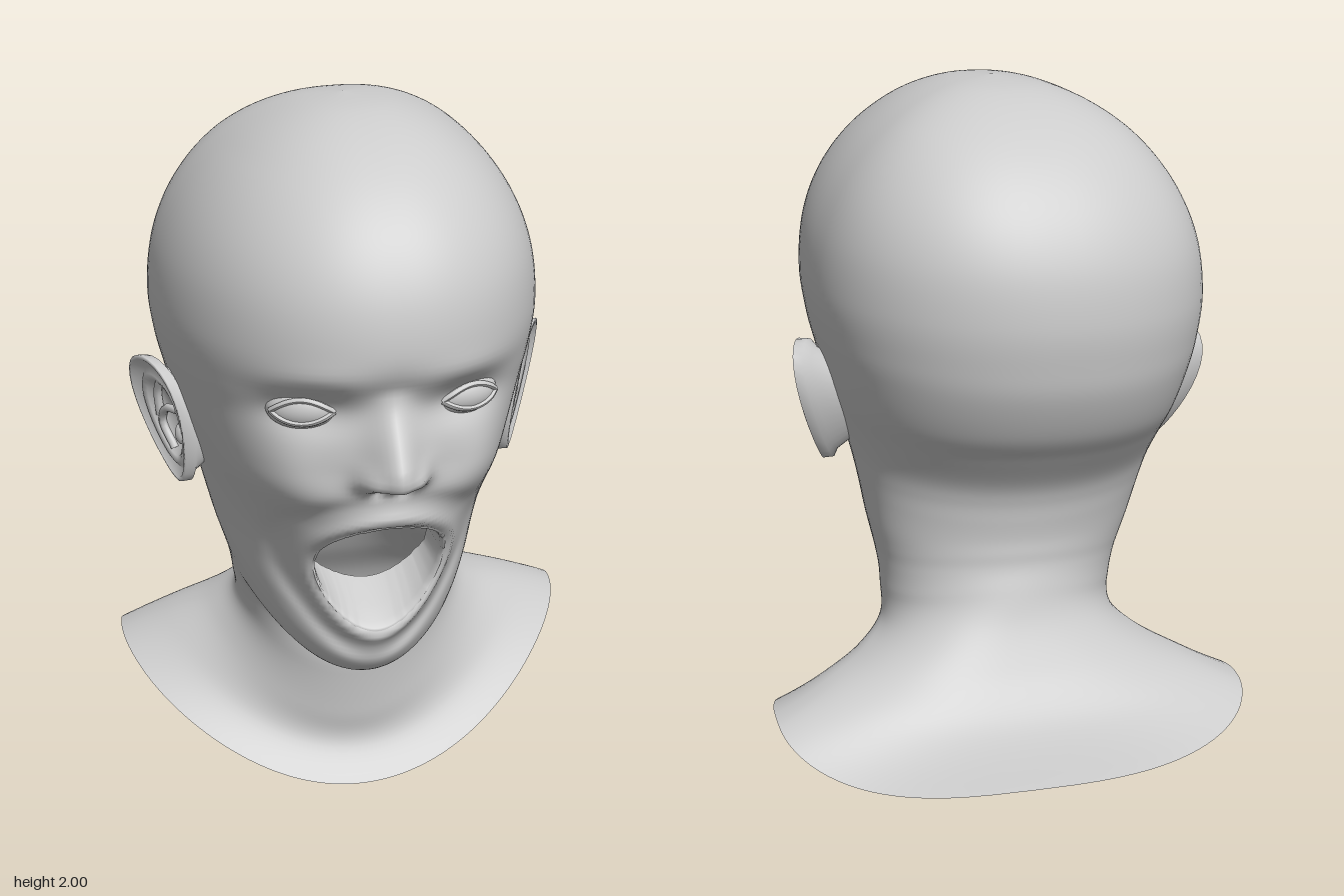
import * as THREE from 'three';

const { smoothstep, lerp } = THREE.MathUtils;
const gauss = (d, s) => Math.exp(-(d * d) / (s * s));

// Skull dome as a rule, then tilted rings from brow to collar:
// y front, y side, y back, z front, z back, half width
const DOME = Array.from({ length: 7 }, (_, k) => {
  const a = (k / 6) * Math.PI / 2, s = Math.sin(a), y = 1.45 + 0.55 * Math.cos(a);
  return [y, y, y, -0.05 + 0.65 * s, -0.05 - 0.61 * s, 0.525 * s];
});
const RINGS = DOME.concat([
  [1.33, 1.33, 1.33, 0.578, -0.65, 0.512],
  [1.24, 1.24, 1.24, 0.558, -0.63, 0.49],
  [1.13, 1.14, 1.13, 0.555, -0.58, 0.462],
  [1.03, 1.06, 1.05, 0.56, -0.52, 0.435],
  [0.93, 0.98, 0.96, 0.515, -0.455, 0.412],
  [0.82, 0.92, 0.9, 0.46, -0.43, 0.398],
  [0.7, 0.86, 0.84, 0.425, -0.42, 0.385],
  [0.59, 0.78, 0.79, 0.41, -0.415, 0.368],
  [0.5, 0.72, 0.75, 0.382, -0.417, 0.352],
  [0.445, 0.67, 0.71, 0.318, -0.42, 0.34],
  [0.475, 0.6, 0.66, 0.145, -0.435, 0.332],
  [0.35, 0.51, 0.56, 0.122, -0.47, 0.333],
  [0.2, 0.45, 0.45, 0.105, -0.53, 0.405],
  [0.1, 0.395, 0.33, 0.1, -0.61, 0.53],
  [0, 0.335, 0.17, 0.17, -0.675, 0.668],
]);
const SUB = 7, COLS = 128;

// Smooth interpolation between rings
function ringAt(i) {
  const k = Math.min(Math.floor(i / SUB), RINGS.length - 2), t = i / SUB - k;
  const at = (n) => RINGS[Math.max(0, Math.min(RINGS.length - 1, n))];
  const [a, b, c, d] = [at(k - 1), at(k), at(k + 1), at(k + 2)];
  return b.map((p, n) => p + 0.5 * t * (c[n] - a[n] +
    t * (2 * a[n] - 5 * p + 4 * c[n] - d[n] + t * (3 * (p - c[n]) + d[n] - a[n]))));
}

// Egg-shaped mouth opening: 1 on the lip edge
const MOUTH_Y = 0.782;
function mouthR(x, y) {
  const w = Math.max(0.06, 0.176 + 0.25 * (y - MOUTH_Y));
  return Math.hypot(x / w, (y - MOUTH_Y) / 0.175);
}

// Relief of nose, brows, sockets, cheeks, lips and chin
function relief(x, y) {
  const ax = Math.abs(x), down = Math.max(0, Math.min(1, (1.35 - y) / 0.2));
  const nose = 0.12 * down * smoothstep(y, 1.06, 1.11) * gauss(x, 0.045 + 0.025 * down);
  const wings = 0.03 * gauss(ax - 0.068, 0.03) * gauss(y - 1.11, 0.032);
  const nostrils = -0.03 * gauss(ax - 0.035, 0.018) * gauss(y - 1.075, 0.016);
  const socket = -0.05 * gauss(ax - 0.205, 0.12) * gauss(y - 1.29, 0.06);
  const bridge = -0.02 * gauss(x, 0.09) * gauss(y - 1.31, 0.06);
  const brow = 0.01 * gauss(ax - 0.2, 0.13) * gauss(y - 1.385, 0.04);
  const cheek = 0.028 * gauss(ax - 0.27, 0.09) * gauss(y - 1.1, 0.1);
  const r = mouthR(x, y);
  const lips = 0.02 * gauss(r - 1.1, 0.12) - 0.012 * gauss(r - 1.45, 0.16);
  const chin = 0.015 * gauss(x, 0.1) * gauss(y - 0.52, 0.05);
  return nose + wings + nostrils + socket + bridge + brow + cheek + lips + chin;
}

// Slight turn and tilt of the head over the shoulders
function pose(geo) {
  const p = geo.attributes.position;
  for (let i = 0; i < p.count; i++) {
    const x = p.getX(i), y = p.getY(i), z = p.getZ(i), w = smoothstep(y + 0.4 * z, 0.35, 0.95);
    p.setXYZ(i, x + w * (0.11 * z - 0.015), y + 0.035 * x * smoothstep(y, 0, 0.3), z - 0.08 * x);
  }
  geo.computeVertexNormals();
  return geo;
}

// Grid of points closed around its columns
function loft(rows, cols, point, flip, keep = () => true) {
  const pos = [], idx = [];
  for (let i = 0; i < rows; i++) for (let j = 0; j < cols; j++) pos.push(...point(i, j));
  const tri = (a, b, c) => { if (keep(a, b, c)) idx.push(...(flip ? [a, c, b] : [a, b, c])); };
  for (let i = 0; i < rows - 1; i++) for (let j = 0; j < cols; j++) {
    const a = i * cols + j, b = i * cols + (j + 1) % cols;
    tri(a, a + cols, b);
    tri(b, a + cols, b + cols);
  }
  const geo = new THREE.BufferGeometry();
  geo.setAttribute('position', new THREE.Float32BufferAttribute(pos, 3));
  geo.setIndex(idx);
  return geo;
}

export function createModel() {
  const group = new THREE.Group();
  const mat = new THREE.MeshStandardMaterial({ color: 0xcccccc, side: THREE.DoubleSide });
  const add = (name, geo) => {
    const mesh = new THREE.Mesh(pose(geo), mat);
    mesh.name = name;
    group.add(mesh);
  };

  // Skin of head, neck and collar; points inside the mouth slide out to the lip edge
  const inMouth = new Set(), edge = new Set();
  const skin = loft((RINGS.length - 1) * SUB + 1, COLS, (i, j) => {
    const [yF, yS, yB, zF, zB, hw] = ringAt(i);
    const u = (j / COLS) * Math.PI * 2, t = u - 0.5 * Math.sin(u);
    const s = Math.sin(t), c = Math.cos(t), front = c > 0;
    const collar = 1 - smoothstep(yS, 0.33, 0.58);
    const n = 2 + 0.2 * smoothstep(yS, 0.8, 1.2) + 0.1 * smoothstep(yS, 1.4, 1.7) + (front ? 0 : collar);
    const zc = lerp(-0.05 - 0.1 * Math.min(1, hw / 0.33), -0.4, collar);
    const f = Math.pow(Math.abs(c), 2 / n);
    let x = hw * Math.sign(s) * Math.pow(Math.abs(s), 2 / n);
    let y = yS + ((front ? yF : yB) - yS) * f * f;
    let z = zc + ((front ? zF : zB) - zc) * f;
    if (z > 0.2 && mouthR(x, y) < 1) {
      inMouth.add(i * COLS + j);
      for (let k = 0; k < 12; k++) {
        const r = Math.max(mouthR(x, y), 0.05);
        x /= r;
        y = MOUTH_Y + (y - MOUTH_Y) / r;
      }
    }
    if (front) z += relief(x, y) * smoothstep(z, 0.1, 0.3);
    return [x, y, z];
  }, false, (...v) => {
    const inside = v.filter((k) => inMouth.has(k));
    if (inside.length < 3) inside.forEach((k) => edge.add(k));
    return inside.length < 3;
  });

  // Mouth lining: rolls in from the lip edge and rises to a raised floor
  const lip = [...edge].map((k) => new THREE.Vector3().fromBufferAttribute(skin.attributes.position, k));
  const around = (p) => Math.atan2(p.y - MOUTH_Y, p.x);
  lip.sort((a, b) => around(a) - around(b));
  const roll = [[1, 1, 0], [0.97, 0.96, 0], [0.95, 0.88, -0.02], [0.95, 0.72, -0.06], [0.96, 0.46, -0.16]];
  const lining = loft(roll.length, lip.length, (i, j) => {
    const [wide, low, dz] = roll[i], p = lip[j], dy = p.y - MOUTH_Y;
    return [p.x * wide, MOUTH_Y + dy * (dy < 0 ? low : wide), p.z + dz];
  }, true);
  add('headAndNeck', skin);
  add('mouthLining', lining);

  // Ear cross-section from the hollow, over the rim, to the root: scale, outward offset
  const earProfile = [[0.02, -0.01], [0.45, -0.004], [0.6, 0.024], [0.7, 0.03], [0.8, 0.018],
    [0.93, 0.04], [0.99, 0.038], [0.98, 0.01], [0.85, -0.005], [0.5, -0.1]];
  for (const side of [1, -1]) {
    const label = side > 0 ? 'left' : 'right';
    // Point on the ear: back and up in ear units, outward offset
    const earPoint = (across, up, out) => {
      const back = across * 0.094 * (1 + 0.35 * up) + 0.028 * up;
      return [side * (0.48 + out + 0.5 * back + 0.03 * up), 1.108 + 0.183 * up, -0.045 - back];
    };
    add(label + 'Ear', loft(earProfile.length, 32, (i, j) => {
      const [k, out] = earProfile[i], a = (j / 32) * Math.PI * 2;
      return earPoint(Math.cos(a) * k, Math.sin(a) * k, out);
    }, side < 0));

    // Inner ridges of the ear
    for (const [ridge, path] of [['Fold', [[-0.5, 0.2], [0.05, 0.15], [0.45, -0.1], [0.25, -0.5]]],
      ['Ridge', [[-0.1, 0.65], [0.2, 0.4], [0.45, 0]]]]) {
      const curve = new THREE.CatmullRomCurve3(path.map(([b, u]) => new THREE.Vector3(...earPoint(b, u, 0.012))));
      add(label + 'Ear' + ridge, new THREE.TubeGeometry(curve, 12, 0.012, 8));
    }

    // Small flap in front of the ear hollow
    const flap = new THREE.SphereGeometry(1, 12, 8);
    flap.scale(0.022, 0.035, 0.018).translate(side * 0.465, 1.08, 0.005);
    add(label + 'EarFlap', flap);

    // Eyeball and lids, turned to follow the curve of the face
    const placeEye = (geo) => geo.rotateY(side * 0.35).translate(side * 0.207, 1.286, 0.437);
    add(label + 'Eye', placeEye(new THREE.SphereGeometry(1, 32, 24).scale(0.105, 0.062, 0.07)));
    for (const [lid, h] of [['Upper', 0.034], ['Lower', -0.03]]) {
      const pts = [];
      for (let k = -4; k <= 4; k++) {
        const dx = k * 0.021, dy = h * (1 - (k * k) / 16);
        pts.push(new THREE.Vector3(dx, dy, 0.07 * Math.sqrt(1 - (dx / 0.105) ** 2 - (dy / 0.062) ** 2)));
      }
      add(label + lid + 'Lid', placeEye(new THREE.TubeGeometry(new THREE.CatmullRomCurve3(pts), 20, 0.008, 8)));
    }
  }
  return group;
}
